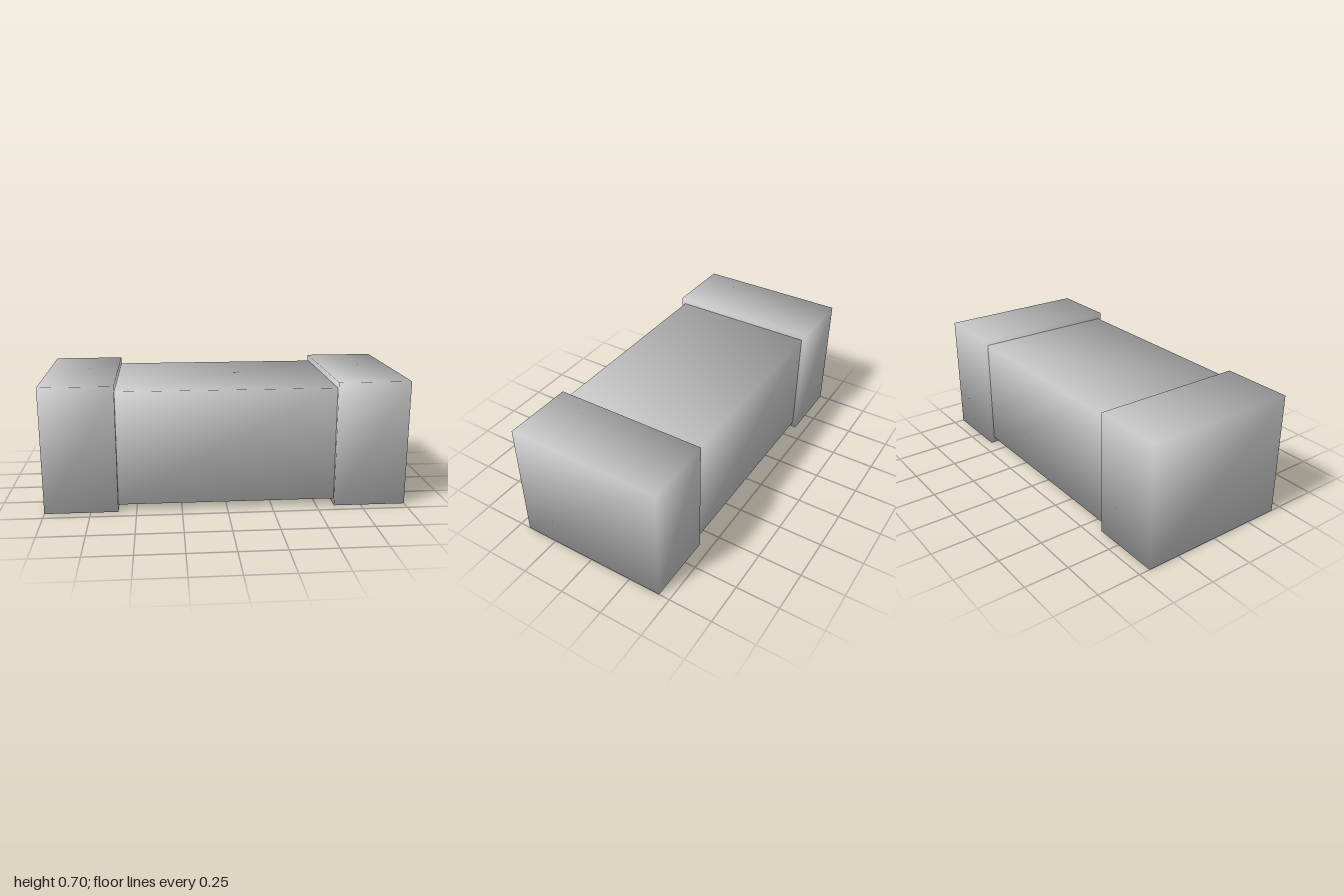
import * as THREE from 'three';
import { mergeVertices } from 'three/addons/utils/BufferGeometryUtils.js';

// Box whose corners are shared, so its shading runs smoothly over the edges
function smoothBox(width, height, depth) {
  const box = new THREE.BoxGeometry(width, height, depth);
  box.deleteAttribute('normal');
  box.deleteAttribute('uv');
  const geometry = mergeVertices(box);
  geometry.clearGroups();
  // every corner normal points straight out along its diagonal
  const position = geometry.attributes.position;
  const normals = [];
  for (let i = 0; i < position.count; i++) {
    const n = new THREE.Vector3(
      Math.sign(position.getX(i)), Math.sign(position.getY(i)), Math.sign(position.getZ(i))
    ).normalize();
    normals.push(n.x, n.y, n.z);
  }
  geometry.setAttribute('normal', new THREE.Float32BufferAttribute(normals, 3));
  return geometry;
}

export function createModel() {
  const group = new THREE.Group();
  group.name = 'bar';
  const grey = new THREE.MeshStandardMaterial({ color: 0xcccccc });
  grey.name = 'light grey';
  const centreY = 0.351;

  // middle block
  const body = new THREE.Mesh(smoothBox(1.2, 0.634, 0.83), grey);
  body.name = 'body';
  body.position.y = centreY;
  group.add(body);

  // slightly larger block at each end
  const endGeometry = smoothBox(0.4, 0.702, 0.874);
  for (const side of [-1, 1]) {
    const end = new THREE.Mesh(endGeometry, grey);
    end.name = side > 0 ? 'leftEnd' : 'rightEnd';
    end.position.set(side * 0.8, centreY, 0);
    group.add(end);
  }
  return group;
}
